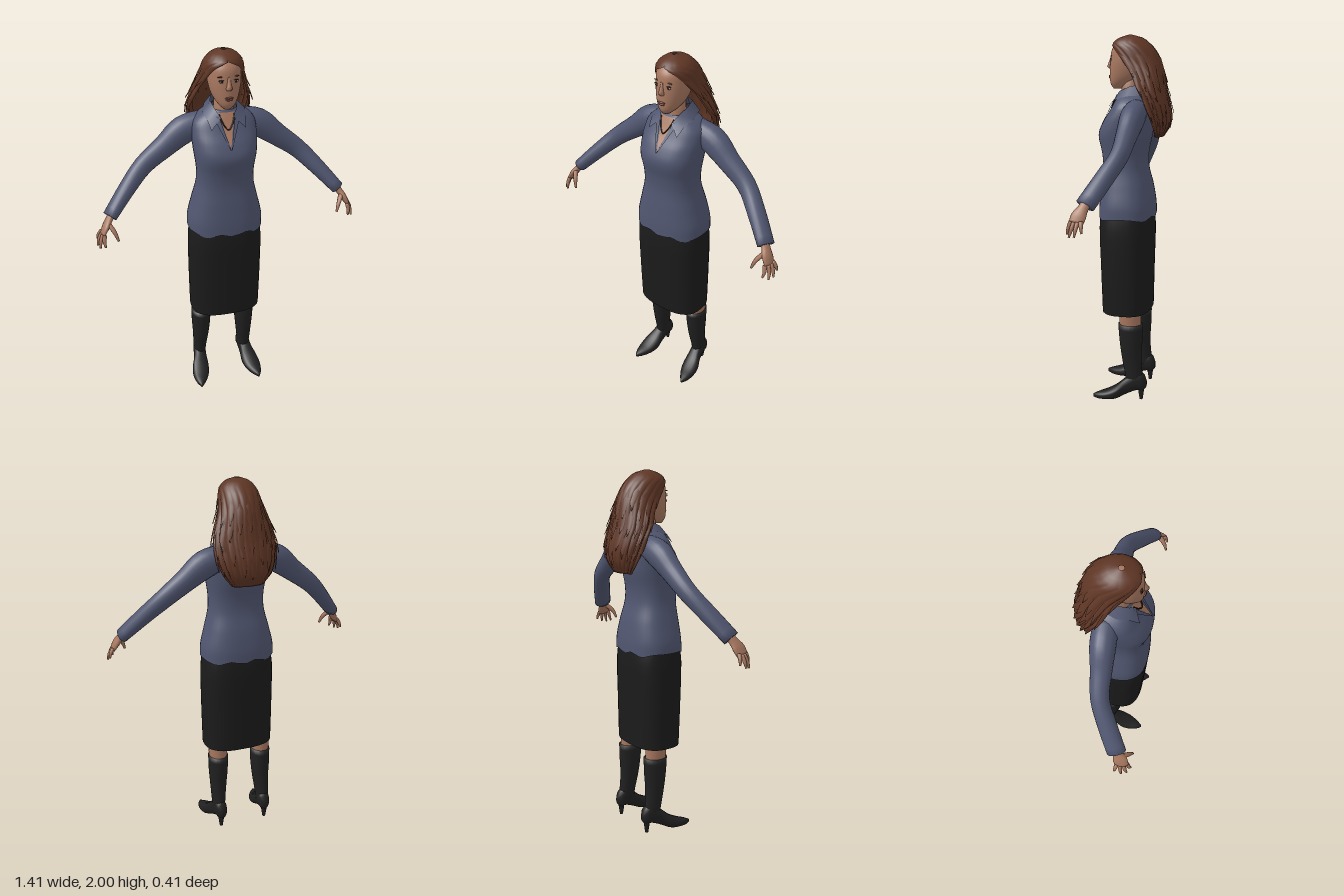
import * as THREE from 'three';

const V = (x, y, z) => new THREE.Vector3(x, y, z);
const X = V(1, 0, 0), Y = V(0, 1, 0), Z = V(0, 0, 1);
const mat = (name, color, side = THREE.FrontSide) => {
  const m = new THREE.MeshStandardMaterial({ color, side });
  m.name = name;
  return m;
};

// Skin a list of equal-length point rows; closed rows wrap around, caps fill the ends
function loft(rows, { closed = true, caps = true } = {}) {
  const n = rows[0].length, pos = [], idx = [];
  rows.forEach(r => r.forEach(p => pos.push(p.x, p.y, p.z)));
  for (let j = 0; j < rows.length - 1; j++)
    for (let i = 0; i < (closed ? n : n - 1); i++) {
      const a = j * n + i, b = j * n + (i + 1) % n;
      idx.push(a, a + n, b, b, a + n, b + n);
    }
  if (closed && caps) [0, rows.length - 1].forEach((j, end) => {
    const c = pos.length / 3, mid = V(0, 0, 0);
    rows[j].forEach(p => mid.addScaledVector(p, 1 / n));
    pos.push(mid.x, mid.y, mid.z);
    for (let i = 0; i < n; i++) {
      const a = j * n + i, b = j * n + (i + 1) % n;
      idx.push(c, end ? b : a, end ? a : b);
    }
  });
  const g = new THREE.BufferGeometry();
  g.setAttribute('position', new THREE.Float32BufferAttribute(pos, 3));
  g.setIndex(idx);
  g.computeVertexNormals();
  return g;
}

// Superellipse ring around c with half-axes u and v (travel direction is v x u)
function ring(c, u, v, ru, rv, n = 20, e = 2) {
  const f = s => Math.sign(s) * Math.pow(Math.abs(s), 2 / e);
  return Array.from({ length: n }, (_, i) => {
    const a = i / n * Math.PI * 2;
    return c.clone().addScaledVector(u, ru * f(Math.cos(a))).addScaledVector(v, rv * f(Math.sin(a)));
  });
}

// Smooth interpolation of a table whose first column ascends
function sample(T, t) {
  let i = 0;
  while (i < T.length - 2 && t > T[i + 1][0]) i++;
  const A = T[i], B = T[i + 1], P = T[Math.max(i - 1, 0)], N = T[Math.min(i + 2, T.length - 1)];
  const h = B[0] - A[0], s = (t - A[0]) / h;
  return A.map((a, k) => {
    const m0 = (B[k] - P[k]) / (B[0] - P[0]) * h, m1 = (N[k] - A[k]) / (N[0] - A[0]) * h;
    return (2 * s ** 3 - 3 * s * s + 1) * a + (s ** 3 - 2 * s * s + s) * m0
      + (3 * s * s - 2 * s ** 3) * B[k] + (s ** 3 - s * s) * m1;
  });
}
const spread = (T, n) => Array.from({ length: n + 1 }, (_, i) =>
  sample(T, T[0][0] + (T[T.length - 1][0] - T[0][0]) * i / n));

// Upright body from rows of [y, halfWidth, zBack, zFront]
const body = (T, e, steps, opts) => loft(spread(T, steps).map(([y, w, b, f]) =>
  ring(V(0, y, (b + f) / 2), X, Z, w, (f - b) / 2, 36, e)), opts);
const frontZ = (T, e, x, y) => {
  const [, w, b, f] = sample(T, y);
  return (b + f) / 2 + (f - b) / 2 * Math.pow(Math.max(0, 1 - Math.pow(Math.abs(x) / w, e)), 1 / e);
};

// Tapered limb through rows of [x, y, z, depthRadius, thicknessRadius]
function limb(P, n = 14) {
  const curve = new THREE.CatmullRomCurve3(P.map(p => V(p[0], p[1], p[2])));
  const T = P.map((p, i) => [i, p[3], p[4]]), steps = (P.length - 1) * 4;
  return loft(Array.from({ length: steps + 1 }, (_, i) => {
    const t = i / steps, d = curve.getTangent(t);
    const u = Z.clone().addScaledVector(d, -d.z).normalize(), v = u.clone().cross(d);
    const [, a, b] = sample(T, t * (P.length - 1));
    return ring(curve.getPoint(t), u, v, a, b, n);
  }));
}

function mirrored(g) {
  const m = g.clone().scale(-1, 1, 1), ix = m.index;
  for (let i = 0; i < ix.count; i += 3) {
    const a = ix.getX(i);
    ix.setX(i, ix.getX(i + 1));
    ix.setX(i + 1, a);
  }
  return m;
}

export function createModel() {
  const model = new THREE.Group();
  const D = THREE.DoubleSide;
  const skin = mat('skin', 0xa87860), blue = mat('blue shirt', 0x505670, D), black = mat('black skirt', 0x1b1b1b, D);
  const leather = mat('boot leather', 0x202020), brown = mat('brown hair', 0x5f3625, D);
  const lip = mat('lips', 0x7d483e), white = mat('eye white', 0xb9aaa0), dark = mat('dark brown', 0x2a1812);
  const add = (name, g, m) => {
    const o = new THREE.Mesh(g, m);
    o.name = name;
    model.add(o);
  };
  const pair = (name, g, m) => {
    add(name + 'Left', g, m);
    add(name + 'Right', mirrored(g), m);
  };

  // Skirt and shirt
  add('skirt', body([[0.5, 0.197, -0.09, 0.18], [0.75, 0.2, -0.095, 0.188], [0.98, 0.198, -0.1, 0.194],
    [1.07, 0.185, -0.09, 0.185]], 2.7, 12, { caps: false }), black);
  const torso = [[1.035, 0.203, -0.107, 0.197], [1.1, 0.2, -0.105, 0.195], [1.2, 0.176, -0.09, 0.186],
    [1.3, 0.152, -0.066, 0.176], [1.38, 0.15, -0.065, 0.182], [1.48, 0.162, -0.085, 0.2], [1.55, 0.168, -0.09, 0.173],
    [1.6, 0.168, -0.09, 0.14], [1.64, 0.158, -0.085, 0.117], [1.675, 0.12, -0.075, 0.1], [1.705, 0.065, -0.05, 0.085]];
  const shirt = body(torso, 2.5, 44, { caps: false });
  const sp = shirt.attributes.position;
  for (let i = 0; i < 36; i++) // wavy hem
    sp.setY(i, sp.getY(i) + 0.009 * Math.cos(sp.getX(i) * 45 + 2.5));
  shirt.computeVertexNormals();
  add('shirt', shirt, blue);
  pair('sleeve', limb([[0.09, 1.615, -0.02, 0.06, 0.06], [0.2, 1.575, -0.02, 0.065, 0.074], [0.3, 1.5, -0.012, 0.055, 0.06],
    [0.42, 1.408, 0.0, 0.047, 0.05], [0.52, 1.31, 0.052, 0.049, 0.043], [0.622, 1.2, 0.116, 0.05, 0.035]], 20), blue);

  // Open neckline, collar and necklace
  const vRows = Array.from({ length: 11 }, (_, j) => Array.from({ length: 9 }, (_, i) => {
    const y = 1.535 + 0.016 * j, x = 0.0043 * j * (i / 4 - 1);
    return V(x, y, frontZ(torso, 2.5, x, y) + 0.004);
  }));
  const chest = loft(vRows, { closed: false });
  chest.index.array.reverse();
  chest.computeVertexNormals();
  add('neckline', chest, skin);
  const collarTop = [[0.032, 1.675, 0.108], [0.055, 1.71, 0.08], [0.066, 1.735, 0.02], [0.05, 1.745, -0.04], [0, 1.748, -0.06]];
  const collarLow = [[0.088, 1.622, 0.138], [0.1, 1.662, 0.1], [0.112, 1.685, 0.03], [0.08, 1.69, -0.065], [0, 1.69, -0.09]];
  pair('collar', loft([collarLow, collarTop].map(r => r.map(p => V(...p))), { closed: false }), blue);
  const lapel = [0, 0.35, 0.7, 1].map(t => [0, 1].map(k => {
    const y = 1.53 + 0.15 * t, x = 0.042 * t + k * (0.004 + 0.024 * t);
    return V(x, y, frontZ(torso, 2.5, x, y) + 0.009);
  }));
  pair('neckPlacket', loft(lapel, { closed: false }), blue);
  const chain = [[-0.04, 1.69], [-0.024, 1.645], [0, 1.618], [0.024, 1.645], [0.04, 1.69]].map(([x, y]) =>
    V(x, y, frontZ(torso, 2.5, x, y) + 0.007));
  add('necklace', new THREE.TubeGeometry(new THREE.CatmullRomCurve3(chain), 24, 0.0035, 6), dark);

  // Neck and head
  add('neck', loft([[1.62, 0.06, 0.03], [1.69, 0.052, 0.03], [1.79, 0.05, 0.025]].map(([y, r, z]) =>
    ring(V(0, y, z), X, Z, r, r))), skin);
  const head = [[1.722, 0.022, 0.07, 0.125], [1.745, 0.045, 0.02, 0.14], [1.78, 0.066, -0.03, 0.143], [1.83, 0.08, -0.06, 0.142],
    [1.88, 0.085, -0.075, 0.138], [1.93, 0.08, -0.07, 0.128], [1.97, 0.055, -0.045, 0.09], [1.985, 0.025, -0.01, 0.05]];
  add('head', body(head, 2.1, 24), skin);
  const blob = (x, y, dz, a, b, c) => new THREE.SphereGeometry(1, 14, 10).scale(a, b, c)
    .translate(x, y, frontZ(head, 2.1, x, y) + dz);
  add('nose', loft([[1.826, 0.014, 0.01], [1.836, 0.017, 0.023], [1.85, 0.012, 0.017], [1.875, 0.008, 0.007], [1.892, 0.006, 0.001]]
    .map(([y, w, d]) => ring(V(0, y, 0.138), X, Z, w, d, 12))), skin);
  add('upperLip', blob(0, 1.788, 0, 0.022, 0.005, 0.007), lip);
  add('lowerLip', blob(0, 1.779, 0, 0.018, 0.006, 0.008), lip);
  pair('eye', blob(0.035, 1.868, 0, 0.014, 0.006, 0.004), white);
  pair('iris', blob(0.035, 1.868, 0.002, 0.0065, 0.006, 0.004), dark);
  pair('lash', blob(0.035, 1.875, 0, 0.016, 0.0025, 0.005), dark);
  pair('brow', blob(0.037, 1.892, 0, 0.019, 0.003, 0.004), brown);

  // Hair shell, open around the face: [y, halfWidth, zBack, zFront, opening angle]
  const hair = [[1.47, 0.09, -0.15, -0.07, 1.75], [1.53, 0.135, -0.185, -0.03, 1.62], [1.6, 0.157, -0.19, 0, 1.5],
    [1.67, 0.166, -0.175, 0.02, 1.4], [1.72, 0.16, -0.162, 0.04, 1.27], [1.8, 0.135, -0.148, 0.07, 1.12],
    [1.85, 0.118, -0.138, 0.1, 1.0], [1.9, 0.108, -0.118, 0.125, 0.82], [1.94, 0.097, -0.09, 0.133, 0.5],
    [1.96, 0.085, -0.068, 0.125, 0.02], [1.985, 0.057, -0.035, 0.092, 0], [2.0, 0.012, 0.02, 0.045, 0]];
  const hairPoint = (y, s, lift = 0) => {
    const [, w, b, f, g] = sample(hair, y), gap = Math.max(0, g), a = gap + (2 * Math.PI - 2 * gap) * s;
    const k = 1 + lift;
    return V(w * k * Math.sin(a), y, (b + f) / 2 + (f - b) / 2 * k * Math.cos(a));
  };
  const hairRows = Array.from({ length: 41 }, (_, j) => Array.from({ length: 73 }, (_, i) => {
    const y = 1.47 + 0.53 * j / 40, fall = Math.min(1, (2 - y) * 6);
    return hairPoint(y, i / 72, (i % 6 < 2 ? -0.035 : 0.012) * fall);
  }));
  hairRows.unshift(hairRows[0].map(p => V(p.x * 0.3, 1.475, -0.1)));
  add('hair', loft(hairRows, { closed: false }), brown);

  // Loose layered locks with lifted tips
  for (let k = 0; k < 33; k++) {
    const s = 0.04 + 0.92 * (k % 11) / 10, tier = Math.floor(k / 11);
    const top = [1.72, 1.83, 1.93][tier] + 0.02 * Math.sin(k * 2.4), len = 0.17 + 0.03 * Math.sin(k * 1.7);
    const rows = [0, 0.35, 0.7, 1].map((t, i) => {
      const y = Math.max(1.465, top - len * t), w = [0.012, 0.03, 0.026, 0.003][i];
      return [-1, 0, 1].map(q => hairPoint(y, s + q * w, [0, 0.04, 0.07, 0.12][i] - 0.03 * Math.abs(q)));
    });
    add('hairLock' + (k + 1), loft(rows, { closed: false }), brown);
  }

  // Hands: palm, four fingers and thumb
  pair('palm', limb([[0.605, 1.22, 0.108, 0.026, 0.02], [0.63, 1.185, 0.125, 0.028, 0.018],
    [0.65, 1.155, 0.14, 0.038, 0.017], [0.668, 1.122, 0.15, 0.036, 0.012]]), skin);
  [[0.66, 1.128, 0.178, 0.662, 1.066, 0.197], [0.668, 1.125, 0.16, 0.688, 1.056, 0.18],
    [0.672, 1.125, 0.142, 0.699, 1.06, 0.152], [0.672, 1.13, 0.125, 0.695, 1.078, 0.115]].forEach(([x, y, z, a, b, c], i) =>
    pair('finger' + (i + 1), limb([[x, y, z, 0.011, 0.011], [(x + a) / 2 + 0.005, (y + b) / 2, (z + c) / 2, 0.0095, 0.0095],
      [a, b, c, 0.005, 0.005]], 8), skin));
  pair('thumb', limb([[0.635, 1.175, 0.145, 0.016, 0.013], [0.61, 1.14, 0.18, 0.012, 0.011],
    [0.594, 1.095, 0.197, 0.006, 0.006]], 8), skin);

  // Legs and heeled boots
  const shaft = T => loft(spread(T, 12).map(([y, cx, rx, cz, rz]) => ring(V(cx, y, cz), X, Z, rx, rz)));
  pair('leg', shaft([[0.4, 0.13, 0.049, 0.005, 0.06], [0.52, 0.13, 0.054, 0.01, 0.062], [0.75, 0.115, 0.07, 0.03, 0.08]]), skin);
  pair('bootShaft', shaft([[0.09, 0.137, 0.034, -0.022, 0.05], [0.15, 0.137, 0.038, -0.014, 0.05],
    [0.25, 0.133, 0.046, -0.001, 0.056], [0.35, 0.131, 0.054, 0.003, 0.065], [0.442, 0.13, 0.056, 0.005, 0.07]]), leather);
  const foot = [[-0.086, 0.135, 0.012, 0.075, 0.115], [-0.07, 0.135, 0.03, 0.055, 0.15], [-0.03, 0.138, 0.036, 0.053, 0.165],
    [0.03, 0.145, 0.039, 0.028, 0.125], [0.08, 0.155, 0.05, 0.004, 0.083], [0.13, 0.163, 0.046, 0, 0.055],
    [0.18, 0.172, 0.027, 0, 0.038], [0.21, 0.177, 0.006, 0.006, 0.026]];
  pair('bootFoot', loft(spread(foot, 24).map(([z, cx, w, lo, hi]) =>
    ring(V(cx, (lo + hi) / 2, z), Y, X, (hi - lo) / 2, w, 18, 2.3))), leather);
  pair('bootHeel', new THREE.CylinderGeometry(0.02, 0.009, 0.075, 10).translate(0.137, 0.0375, -0.056), leather);
  return model;
}
